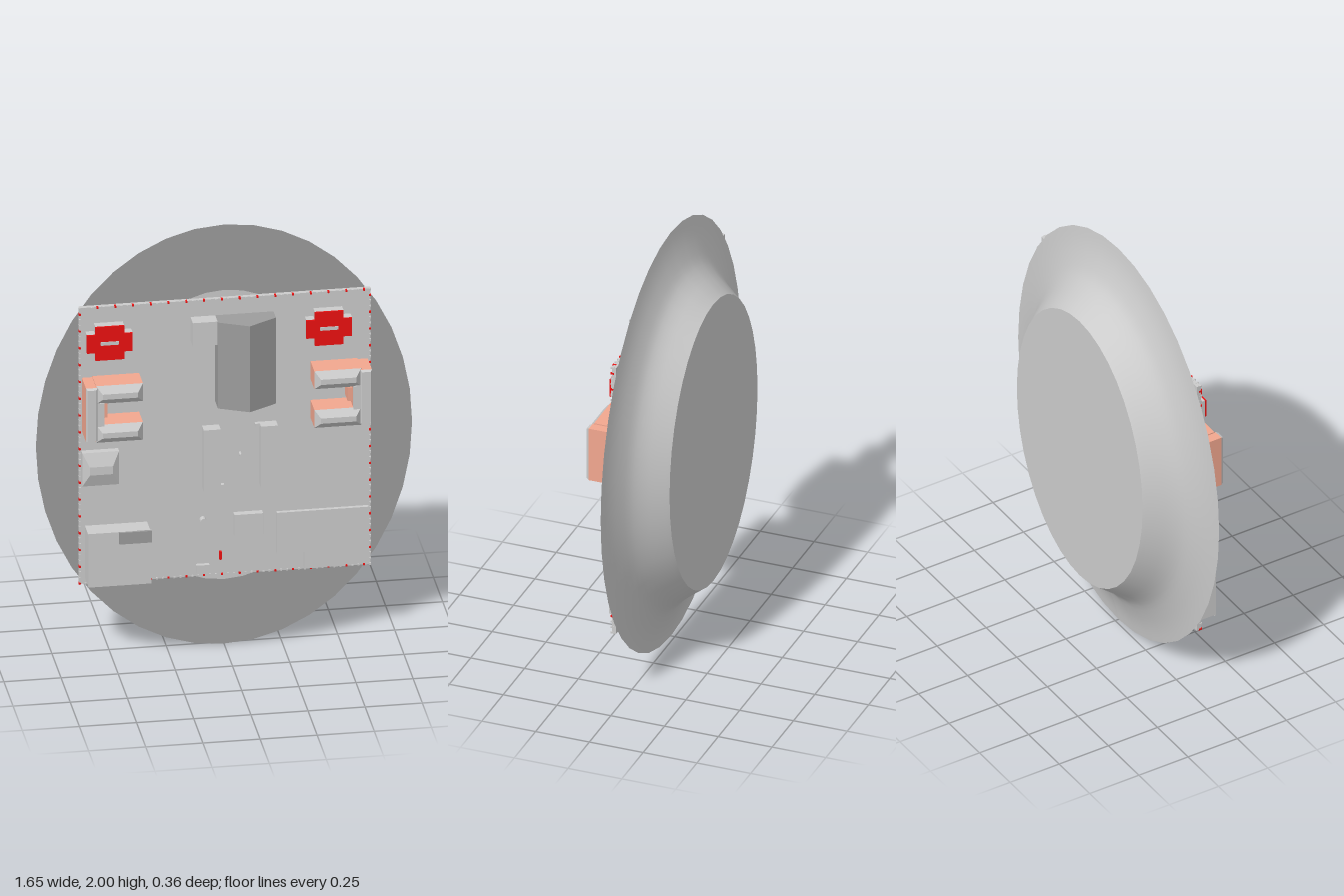
import * as THREE from 'three';
import { mergeGeometries } from 'three/addons/utils/BufferGeometryUtils.js';

const mat = (color, flatShading = true) =>
  new THREE.MeshStandardMaterial({ color, flatShading, side: THREE.DoubleSide });
const GREY = mat(0xcccccc), DARK = mat(0x9c9c9c), RED = mat(0xee1111), ORANGE = mat(0xf2a78f);
const GROUND = 0.04; // front surface of the board

// Box between limits; the front face can be drawn in to make a hipped roof
function boxGeo(x0, x1, y0, y1, z0, z1, insetX = 0, insetY = 0) {
  const g = new THREE.BoxGeometry(x1 - x0, y1 - y0, z1 - z0);
  const p = g.attributes.position;
  for (let i = 0; i < p.count; i++) {
    if (p.getZ(i) > 0) {
      p.setX(i, p.getX(i) - Math.sign(p.getX(i)) * insetX);
      p.setY(i, p.getY(i) - Math.sign(p.getY(i)) * insetY);
    }
  }
  g.translate((x0 + x1) / 2, (y0 + y1) / 2, (z0 + z1) / 2);
  g.computeVertexNormals();
  return g;
}

function add(parent, name, geometry, material = GREY) {
  const m = new THREE.Mesh(geometry, material);
  m.name = name;
  parent.add(m);
  return m;
}

// Outline in x, y pushed forward from z0 to z1
function slab(points, z0, z1) {
  const s = new THREE.Shape(points.map(([x, y]) => new THREE.Vector2(x, y)));
  return new THREE.ExtrudeGeometry(s, { depth: z1 - z0, bevelEnabled: false }).translate(0, 0, z0);
}

function oval(rx, ry, z) {
  return new THREE.CircleGeometry(1, 40).scale(rx, ry, 1).translate(0, 1, z);
}

// Flared oval dish with a flat back and flat front
function makeDish() {
  const g = new THREE.Group();
  g.name = 'dish';
  const profile = [[0, -0.18], [0.12, -0.13], [0.25, -0.08], [0.4, -0.04], [0.62, -0.01], [0.82, 0.008], [1, 0.018]];
  const curve = new THREE.SplineCurve(profile.map(([t, z]) => new THREE.Vector2(1 + t, z)));
  const flare = new THREE.LatheGeometry(curve.getPoints(16), 40).rotateX(Math.PI / 2);
  const p = flare.attributes.position;
  for (let i = 0; i < p.count; i++) {
    const x = p.getX(i), y = p.getY(i), r = Math.hypot(x, y), t = r - 1;
    p.setXY(i, (x / r) * (0.515 + 0.308 * t), 1 + (y / r) * (0.685 + 0.315 * t));
  }
  flare.computeVertexNormals();
  add(g, 'flare', flare, mat(0xcccccc, false));
  add(g, 'backDisc', oval(0.515, 0.685, 0).rotateY(Math.PI).translate(0, 0, -0.18));
  add(g, 'frontDisc', oval(0.823, 1, 0.018), DARK);
  add(g, 'innerDisc', oval(0.515, 0.69, 0.022));
  return g;
}

// Square board with a row of small posts round its edge
function makeBoard() {
  const g = new THREE.Group();
  g.name = 'board';
  add(g, 'plate', boxGeo(-0.637, 0.637, 0.342, 1.658, 0.02, GROUND));
  const posts = [[], []];
  const n = 50;
  for (let i = 0; i < n; i++) {
    const x = -0.635 + (1.27 * i) / (n - 1), y = 0.345 + (1.31 * i) / (n - 1);
    for (const [px, py] of [[x, 0.345], [x, 1.655], [-0.635, y], [0.635, y]])
      posts[i % 3 === 0 ? 1 : 0].push(boxGeo(px - 0.004, px + 0.004, py - 0.004, py + 0.004, 0.03, 0.046));
  }
  add(g, 'edgePosts', mergeGeometries(posts[0]));
  add(g, 'redEdgePosts', mergeGeometries(posts[1]), RED);
  return g;
}

// Cross-shaped house with a red roof and a slot-shaped skylight
function makeCrossHouse(cx) {
  const g = new THREE.Group();
  g.name = 'crossHouse';
  const w = 0.1, m = 0.063, h = 0.08, k = 0.043;
  const outline = [[-w, -k], [-m, -k], [-m, -h], [m, -h], [m, -k], [w, -k], [w, k], [m, k], [m, h], [-m, h], [-m, k], [-w, k]];
  add(g, 'walls', slab(outline, GROUND, 0.078));
  add(g, 'roof', slab(outline, 0.078, 0.085), RED);
  add(g, 'skylight', boxGeo(-0.04, 0.04, -0.008, 0.008, 0.08, 0.088));
  g.position.set(cx, 1.502, 0);
  return g;
}

// U-shaped house, open toward the middle of the board
function makeCourtHouse(side) {
  const g = new THREE.Group();
  g.name = 'courtHouse';
  const span = (a, b) => (side > 0 ? [a, b] : [-b, -a]);
  for (const y of [1.06, 1.245]) {
    const [a, b] = span(0.375, 0.58);
    add(g, 'wingWalls', boxGeo(a, b, y, y + 0.085, GROUND, 0.145), ORANGE);
    add(g, 'wingRoof', boxGeo(a, b, y, y + 0.085, 0.145, 0.172, 0.025, 0.03));
  }
  const [c, d] = span(0.545, 0.585);
  add(g, 'linkWalls', boxGeo(c, d, 1.14, 1.25, GROUND, 0.14), ORANGE);
  add(g, 'linkRoof', boxGeo(c, d, 1.14, 1.25, 0.14, 0.155));
  const [p, q] = span(0.525, 0.547);
  add(g, 'porch', boxGeo(p, q, 1.165, 1.23, GROUND, 0.12), ORANGE);
  const [e, f] = span(0.575, 0.625);
  add(g, 'rearWalls', boxGeo(e, f, 1.07, 1.325, GROUND, 0.152), ORANGE);
  add(g, 'rearRoof', boxGeo(e, f, 1.07, 1.325, 0.152, 0.165, 0.006, 0.006));
  return g;
}

// Tall gabled hall with a low annex
function makeHall() {
  const g = new THREE.Group();
  g.name = 'hall';
  const gable = [[-0.042, GROUND], [0.213, GROUND], [0.213, 0.105], [0.088, 0.175], [-0.042, 0.115]];
  // the outline lies in x, z and runs along y
  const body = slab(gable, 0, 0.41).rotateX(Math.PI / 2).translate(0, 1.58, 0);
  add(g, 'gabledBody', body, DARK);
  add(g, 'annex', boxGeo(-0.15, -0.042, 1.468, 1.58, GROUND, 0.105));
  return g;
}

export function createModel() {
  const model = new THREE.Group();
  model.name = 'settlement';
  model.add(makeDish(), makeBoard(), makeHall());
  model.add(makeCrossHouse(-0.51), makeCrossHouse(0.45));
  for (const side of [-1, 1]) model.add(makeCourtHouse(side));

  // Two long narrow sheds
  for (const x of [-0.1, 0.15]) add(model, 'longShed', boxGeo(x, x + 0.074, 0.765, 1.058, GROUND, 0.092));
  add(model, 'shedStep', boxGeo(-0.026, -0.005, 0.765, 0.778, GROUND, 0.06));
  add(model, 'shedStep', boxGeo(0.13, 0.15, 1.045, 1.058, GROUND, 0.06));

  // Cottage with a hipped roof
  add(model, 'cottageWalls', boxGeo(-0.628, -0.467, 0.82, 0.978, GROUND, 0.07));
  add(model, 'cottageRoof', boxGeo(-0.628, -0.467, 0.82, 0.978, 0.07, 0.092, 0.03, 0.06));

  // Flat-roofed workshop with a dark raised corner
  add(model, 'workshop', boxGeo(-0.612, -0.34, 0.37, 0.618, GROUND, 0.125));
  add(model, 'workshopRoof', boxGeo(-0.612, -0.335, 0.365, 0.62, 0.125, 0.132));
  add(model, 'workshopTower', boxGeo(-0.477, -0.335, 0.565, 0.62, 0.13, 0.142), DARK);

  // Low paved terrace
  const terrace = [[0.225, 0.43], [0.345, 0.43], [0.345, 0.352], [0.51, 0.352], [0.51, 0.43], [0.627, 0.43], [0.627, 0.625], [0.225, 0.625]];
  add(model, 'terrace', slab(terrace, GROUND, 0.058));

  // Small huts, well and post
  add(model, 'hut', boxGeo(0.037, 0.163, 0.535, 0.635, GROUND, 0.072));
  add(model, 'smallHut', boxGeo(-0.127, -0.07, 0.362, 0.4, GROUND, 0.06));
  add(model, 'redPost', boxGeo(-0.025, -0.015, 0.417, 0.455, GROUND, 0.052), RED);
  for (const [x, y, r] of [[-0.097, 0.612, 0.014], [0.067, 0.917, 0.006]])
    add(model, 'well', new THREE.CylinderGeometry(r, r, 0.03, 12).rotateX(Math.PI / 2).translate(x, y, 0.055));
  return model;
}
